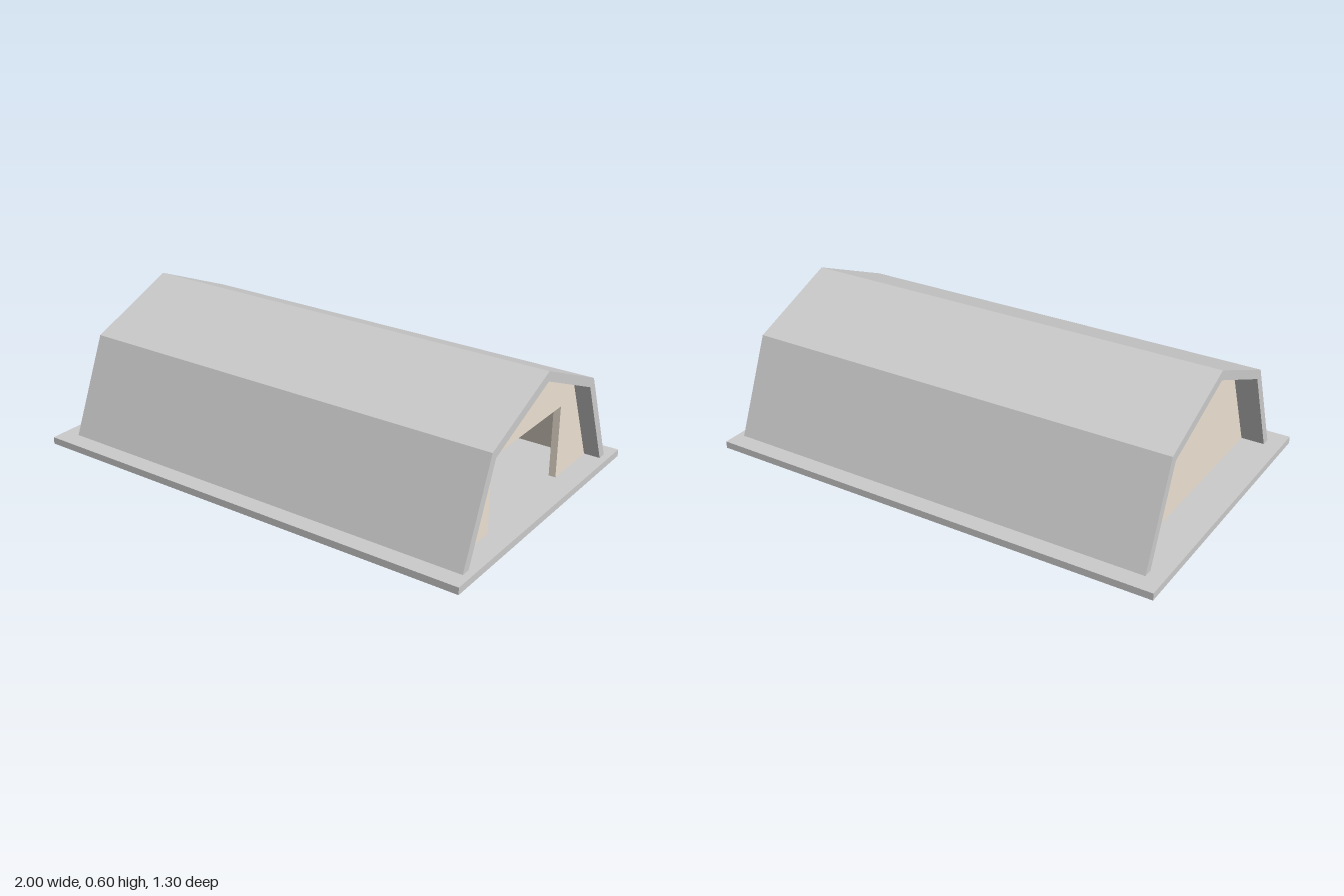
import * as THREE from 'three';

const GREY = 0xcccccc, TAN = 0xede3d3;
const FLOOR = 0.03;
const ROOM_Z = 0.01;

function makeMesh(name, geometry, color) {
  const mesh = new THREE.Mesh(geometry, new THREE.MeshStandardMaterial({
    color, flatShading: true, side: THREE.DoubleSide,
  }));
  mesh.name = name;
  return mesh;
}

// Five-sided barn outline in (z, y), from the left foot over the ridge to the right foot
const arch = (base, kneeZ, kneeY, apex, c = 0) =>
  [[c + base, FLOOR], [c + kneeZ, kneeY], [c, apex], [c - kneeZ, kneeY], [c - base, FLOOR]];

const doorway = (zMin, zMax, top) => [[zMax, FLOOR], [zMax, top], [zMin, top], [zMin, FLOOR]];

// Outline with a second one taken out of it along the floor
const around = (outer, inner) => [...outer, ...[...inner].reverse()];

// Skin swept along x over an open outline; x0 > x1 turns it inward
function band(name, outline, x0, x1, color) {
  const positions = [];
  for (let i = 0; i + 1 < outline.length; i++) {
    const [pz, py] = outline[i], [qz, qy] = outline[i + 1];
    positions.push(x0, py, pz, x1, py, pz, x1, qy, qz);
    positions.push(x0, py, pz, x1, qy, qz, x0, qy, qz);
  }
  const geometry = new THREE.BufferGeometry();
  geometry.setAttribute('position', new THREE.Float32BufferAttribute(positions, 3));
  geometry.computeVertexNormals();
  return makeMesh(name, geometry, color);
}

// Flat upright face across x, facing +x (1) or -x (-1)
function face(name, outline, x, facing, color) {
  const shape = new THREE.Shape(outline.map(([z, y]) => new THREE.Vector2(-facing * z, y)));
  const geometry = new THREE.ShapeGeometry(shape);
  geometry.rotateY((facing * Math.PI) / 2).translate(x, 0, 0);
  return makeMesh(name, geometry, color);
}

// Floor sheet, open under the hollow walls, with a rim around it
function floorSlab() {
  const group = new THREE.Group();
  group.name = 'floorSlab';
  const s = ROOM_Z;
  const half = [
    [-0.83, 0.533], [-0.93, 0.533], [-0.93, 0.573], [0.97, 0.573], [0.97, 0.533], [0.9, 0.533],
    [0.9, 0.272], [0.87, 0.272], [0.87, 0.503], [-0.8, 0.503], [-0.8, 0.42, s], [-0.34, 0.42, s],
    [-0.34, 0.065, s], [-0.37, 0.065, s], [-0.37, 0.39, s], [-0.705, 0.39, s],
  ];
  const left = half.map(([x, z, shift = 0]) => new THREE.Vector2(x, -z - shift));
  const right = half.map(([x, z, shift = 0]) => new THREE.Vector2(x, z - shift)).reverse();
  const shape = new THREE.Shape(
    [[-1, -0.65], [1, -0.65], [1, 0.65], [-1, 0.65]].map(([x, y]) => new THREE.Vector2(x, y)));
  shape.holes.push(new THREE.Path([...left, ...right]));
  const sheet = new THREE.ShapeGeometry(shape).rotateX(-Math.PI / 2).translate(0, FLOOR, 0);
  group.add(makeMesh('floorSheet', sheet, GREY));
  for (let i = 0; i < 4; i++) {
    const [length, offset] = i % 2 ? [1.3, 1] : [2, 0.65];
    const side = new THREE.PlaneGeometry(length, FLOOR).translate(0, FLOOR / 2, offset);
    group.add(makeMesh('slabRim', side.rotateY((i * Math.PI) / 2), GREY));
  }
  return group;
}

// Grey outer skin with a short overhang at both ends
function outerShell(outer, inner) {
  const group = new THREE.Group();
  group.name = 'outerShell';
  group.add(
    band('shellSkin', outer, -0.93, 0.97, GREY),
    band('frontOverhang', inner, 0.97, 0.9, GREY),
    band('rearOverhang', inner, -0.83, -0.93, GREY),
    face('frontEdge', around(outer, inner), 0.97, 1, GREY),
    face('rearEdge', around(outer, inner), -0.93, -1, GREY),
  );
  return group;
}

// Hollow wall with a doorway: two faces and the reveal between them
function doorWall(name, front, back, door, x0, x1) {
  const group = new THREE.Group();
  group.name = name;
  group.add(
    face('outsideFace', around(front, door), x1, 1, TAN),
    face('insideFace', around(back, door), x0, -1, TAN),
    band('doorReveal', door, x1, x0, TAN),
  );
  return group;
}

export function createModel() {
  const model = new THREE.Group();
  const shellOuter = arch(0.573, 0.403, 0.435, 0.603);
  const shellInner = arch(0.533, 0.375, 0.405, 0.562);
  const lining = arch(0.503, 0.355, 0.38, 0.535);
  const roomOuter = arch(0.42, 0.268, 0.342, 0.45, ROOM_Z);
  const roomInner = arch(0.39, 0.245, 0.32, 0.42, ROOM_Z);

  model.add(
    floorSlab(),
    outerShell(shellOuter, shellInner),
    // main hall
    band('hallLining', lining, 0.87, -0.8, TAN),
    doorWall('entranceWall', shellInner, lining, doorway(-0.272, 0.275, 0.342), 0.87, 0.9),
    face('rearWall', shellInner, -0.83, -1, TAN),
    face('rearWallInside', around(lining, roomOuter), -0.8, 1, TAN),
    // inner room
    band('roomOutside', roomOuter, -0.8, -0.34, TAN),
    band('roomLining', roomInner, -0.37, -0.705, TAN),
    doorWall('roomFrontWall', roomOuter, roomInner, doorway(-0.055, 0.075, 0.15), -0.37, -0.34),
    face('roomBackPanel', roomInner, -0.705, 1, GREY),
    // sloped brace behind the room's back panel
    band('backBrace', [[0.42, FLOOR], [0, 0.31], [-0.4, FLOOR]], -0.83, -0.705, GREY),
  );
  return model;
}
